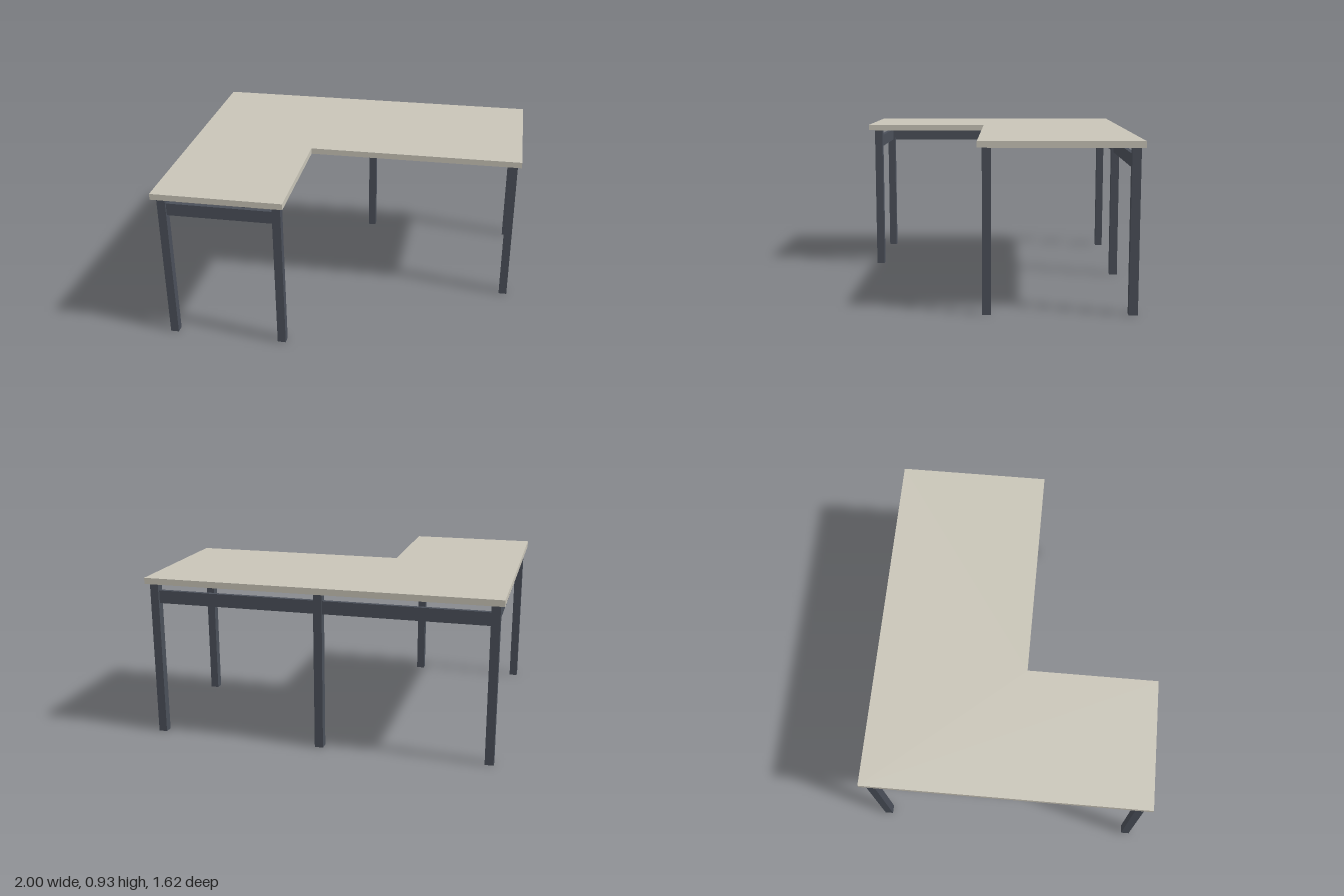
import * as THREE from 'three';

export function createModel() {
  const model = new THREE.Group();
  model.name = 'cornerDesk';

  const topMaterial = new THREE.MeshStandardMaterial({ color: 0xc8c4b7 });
  topMaterial.name = 'warm grey laminate';
  const frameMaterial = new THREE.MeshStandardMaterial({ color: 0x4a4f59 });
  frameMaterial.name = 'dark slate metal';

  const legHeight = 0.89, legWidth = 0.048;
  const topThickness = 0.035;
  const railHeight = 0.073, railY = 0.812, railDepth = 0.024;
  const sideX = 0.954, backZ = -0.764, middleZ = 0.012, frontZ = 0.75, returnX = -0.303;

  // L-shaped desktop, drawn in x and -z, then laid flat
  const outline = new THREE.Shape([
    [-1, -0.81], [-0.257, -0.81], [-0.257, -0.061], [1, -0.061], [1, 0.81], [-1, 0.81],
  ].map(([x, y]) => new THREE.Vector2(x, y)));
  const topGeometry = new THREE.ExtrudeGeometry(outline, { depth: topThickness, bevelEnabled: false });
  topGeometry.rotateX(-Math.PI / 2);
  const desktop = new THREE.Mesh(topGeometry, topMaterial);
  desktop.name = 'desktop';
  desktop.position.y = legHeight;
  model.add(desktop);

  const addBox = (name, size, position) => {
    const mesh = new THREE.Mesh(new THREE.BoxGeometry(...size), frameMaterial);
    mesh.name = name;
    mesh.position.set(...position);
    model.add(mesh);
  };

  // Square legs
  const legs = {
    backRightLeg: [-sideX, backZ],
    backMiddleLeg: [0, backZ],
    backLeftLeg: [sideX, backZ],
    middleLeftLeg: [sideX, middleZ],
    frontRightLeg: [-sideX, frontZ],
    frontInnerLeg: [returnX, frontZ],
  };
  for (const [name, [x, z]] of Object.entries(legs)) {
    addBox(name, [legWidth, legHeight, legWidth], [x, legHeight / 2, z]);
  }

  // Rails between the legs, below the desktop
  addBox('backRail', [2 * sideX - legWidth, railHeight, railDepth], [0, railY, backZ]);
  addBox('sideRail', [railDepth, railHeight, frontZ - backZ - legWidth], [-sideX, railY, (frontZ + backZ) / 2]);
  addBox('frontRail', [returnX + sideX - legWidth, railHeight, railDepth], [(returnX - sideX) / 2, railY, frontZ]);

  return model;
}
